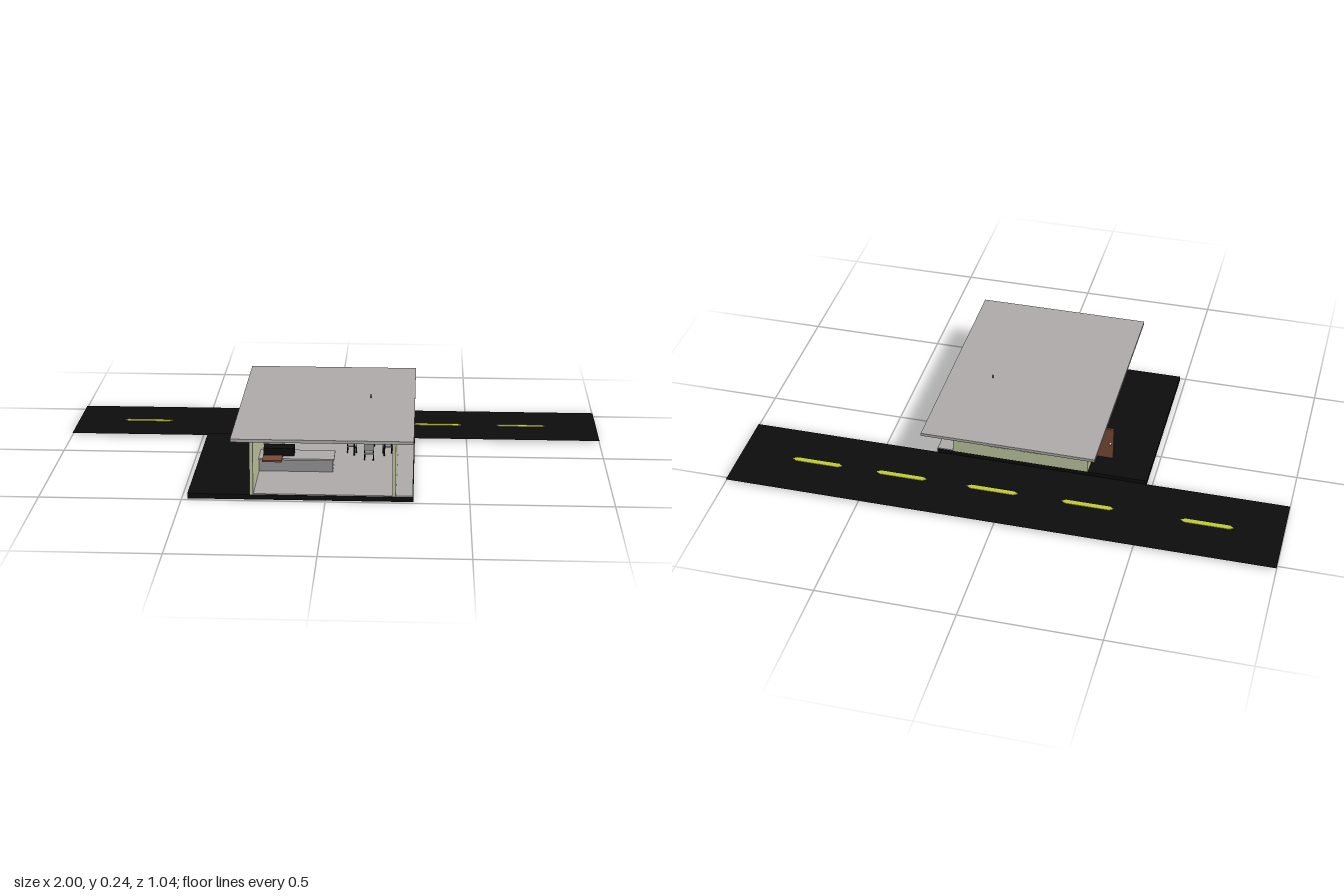
import * as THREE from 'three';

const mat = (name, color) => {
  const m = new THREE.MeshStandardMaterial({ color });
  m.name = name;
  return m;
};

export function createModel() {
  const asphalt = mat('asphalt black', 0x0d0d0d);
  const yellow = mat('road yellow', 0xc3cd36);
  const green = mat('wall green', 0xc2caa2);
  const grey = mat('concrete grey', 0xb0acab);
  const brown = mat('door brown', 0x7a4b38);
  const steel = mat('steel grey', 0x97979a);
  const cream = mat('lamp cream', 0xd8dcc0);
  const red = mat('pot red', 0x7d3430);
  const road2 = mat('road black', 0x0d0d0d);
  road2.side = THREE.DoubleSide;

  const model = new THREE.Group();
  const add = (parent, name, geo, material, x = 0, y = 0, z = 0) => {
    const m = new THREE.Mesh(geo, material);
    m.name = name;
    m.position.set(x, y, z);
    parent.add(m);
    return m;
  };
  // box given by its minimum and maximum corners
  const box = (parent, name, material, x0, x1, y0, y1, z0, z1) =>
    add(parent, name, new THREE.BoxGeometry(x1 - x0, y1 - y0, z1 - z0), material,
      (x0 + x1) / 2, (y0 + y1) / 2, (z0 + z1) / 2);
  const group = (name, x = 0, y = 0, z = 0) => {
    const g = new THREE.Group();
    g.name = name;
    g.position.set(x, y, z);
    model.add(g);
    return g;
  };
  // wall slab with rectangular openings [x0, x1, y0, y1]
  const wallGeo = (x0, x1, y0, y1, openings, depth) => {
    const rect = (p, a, b, c, d) => p.moveTo(a, c).lineTo(b, c).lineTo(b, d).lineTo(a, d).closePath();
    const s = new THREE.Shape();
    rect(s, x0, x1, y0, y1);
    for (const [a, b, c, d] of openings) {
      const h = new THREE.Path();
      rect(h, a, b, c, d);
      s.holes.push(h);
    }
    return new THREE.ExtrudeGeometry(s, { depth, bevelEnabled: false });
  };

  // road and its pointed dashes
  const road = add(model, 'road', new THREE.PlaneGeometry(2, 0.34), road2, 0, 0.008, -0.35);
  road.rotation.x = -Math.PI / 2;
  const dash = new THREE.Shape();
  dash.moveTo(-0.095, 0).lineTo(-0.08, -0.01).lineTo(0.08, -0.01)
    .lineTo(0.095, 0).lineTo(0.08, 0.01).lineTo(-0.08, 0.01).closePath();
  const dashGeo = new THREE.ExtrudeGeometry(dash, { depth: 0.004, bevelEnabled: false });
  dashGeo.rotateX(-Math.PI / 2);
  for (const x of [-0.73, -0.3, 0.05, 0.39, 0.71]) {
    add(model, 'roadDash', dashGeo, yellow, x, 0.006, -0.347);
  }

  // plot and floor
  box(model, 'basePlot', asphalt, -0.48, 0.305, 0, 0.018, -0.174, 0.487);
  box(model, 'floor', grey, -0.262, 0.303, 0.018, 0.021, -0.172, 0.485);

  // walls, open at the front
  box(model, 'leftSideWall', green, 0.232, 0.244, 0.02, 0.22, -0.176, 0.495);
  add(model, 'backWall',
    wallGeo(-0.262, 0.232, 0.02, 0.22, [[-0.092, -0.012, 0.067, 0.137], [0.036, 0.106, 0.067, 0.137]], 0.012),
    green, 0, 0, -0.176);
  const sideWall = add(model, 'doorWall',
    wallGeo(-0.495, 0.164, 0.02, 0.22, [[0.0, 0.068, 0.021, 0.15]], 0.012), green, -0.262, 0, 0);
  sideWall.rotation.y = Math.PI / 2;

  // flat roof
  box(model, 'roof', grey, -0.325, 0.305, 0.219, 0.23, -0.363, 0.517);

  // door standing open
  box(model, 'door', brown, -0.335, -0.263, 0.021, 0.15, -0.077, -0.069);
  for (const z of [-0.081, -0.065]) {
    add(model, 'doorKnob', new THREE.SphereGeometry(0.005, 12, 8), cream, -0.324, 0.088, z);
  }

  // kitchen counter, cooker and cupboard
  box(model, 'counter', steel, -0.25, 0.015, 0.021, 0.066, 0.17, 0.25);
  box(model, 'counterTop', grey, -0.25, 0.02, 0.066, 0.072, 0.16, 0.26);
  box(model, 'counterReturn', steel, -0.25, -0.18, 0.021, 0.07, -0.16, 0.02);
  box(model, 'cooker', asphalt, -0.235, -0.125, 0.072, 0.1, 0.18, 0.23);
  box(model, 'servingBoard', brown, -0.235, -0.165, 0.072, 0.078, 0.24, 0.3);
  box(model, 'fridge', steel, -0.005, 0.028, 0.021, 0.125, -0.164, -0.13);

  // shelf with pots
  box(model, 'shelf', brown, -0.25, -0.13, 0.142, 0.147, -0.164, -0.12);
  add(model, 'blackPot', new THREE.CylinderGeometry(0.017, 0.014, 0.024, 16), asphalt, -0.19, 0.159, -0.142);
  add(model, 'redPot', new THREE.CylinderGeometry(0.017, 0.011, 0.018, 16), red, -0.145, 0.156, -0.142);

  // pendant lamps
  for (const [x, y, z, top] of [[-0.2, 0.16, 0.2, 0.222], [-0.05, 0.16, 0.2, 0.222], [0.143, 0.178, 0.022, 0.243]]) {
    const lamp = group('pendantLamp', x, 0, z);
    const len = top - y - 0.025;
    add(lamp, 'lampCord', new THREE.CylinderGeometry(0.002, 0.002, len, 8), asphalt, 0, top - len / 2, 0);
    add(lamp, 'lampShade', new THREE.CylinderGeometry(0.003, 0.017, 0.03, 20), cream, 0, y + 0.012, 0);
  }

  // dining table
  const table = group('diningTable', 0.14, 0, 0.022);
  box(table, 'tableTop', brown, -0.065, 0.065, 0.069, 0.075, -0.05, 0.05);
  for (const x of [-0.055, 0.055]) for (const z of [-0.042, 0.042]) {
    box(table, 'tableLeg', asphalt, x - 0.003, x + 0.003, 0.021, 0.069, z - 0.003, z + 0.003);
  }

  // chairs facing the table
  for (const [x, z, turn] of [[0.14, 0.1, 0], [0.14, -0.056, Math.PI], [0.225 - 0.02, 0.022, Math.PI / 2], [0.075, 0.022, -Math.PI / 2]]) {
    const chair = group('chair', x, 0, z);
    chair.rotation.y = turn;
    box(chair, 'chairSeat', steel, -0.018, 0.018, 0.044, 0.049, -0.018, 0.018);
    box(chair, 'chairBack', steel, -0.018, 0.018, 0.058, 0.092, 0.014, 0.018);
    for (const lx of [-0.016, 0.016]) {
      box(chair, 'frontLeg', asphalt, lx - 0.002, lx + 0.002, 0.021, 0.044, -0.018, -0.014);
      box(chair, 'backLeg', asphalt, lx - 0.002, lx + 0.002, 0.021, 0.06, 0.014, 0.018);
    }
  }
  return model;
}
